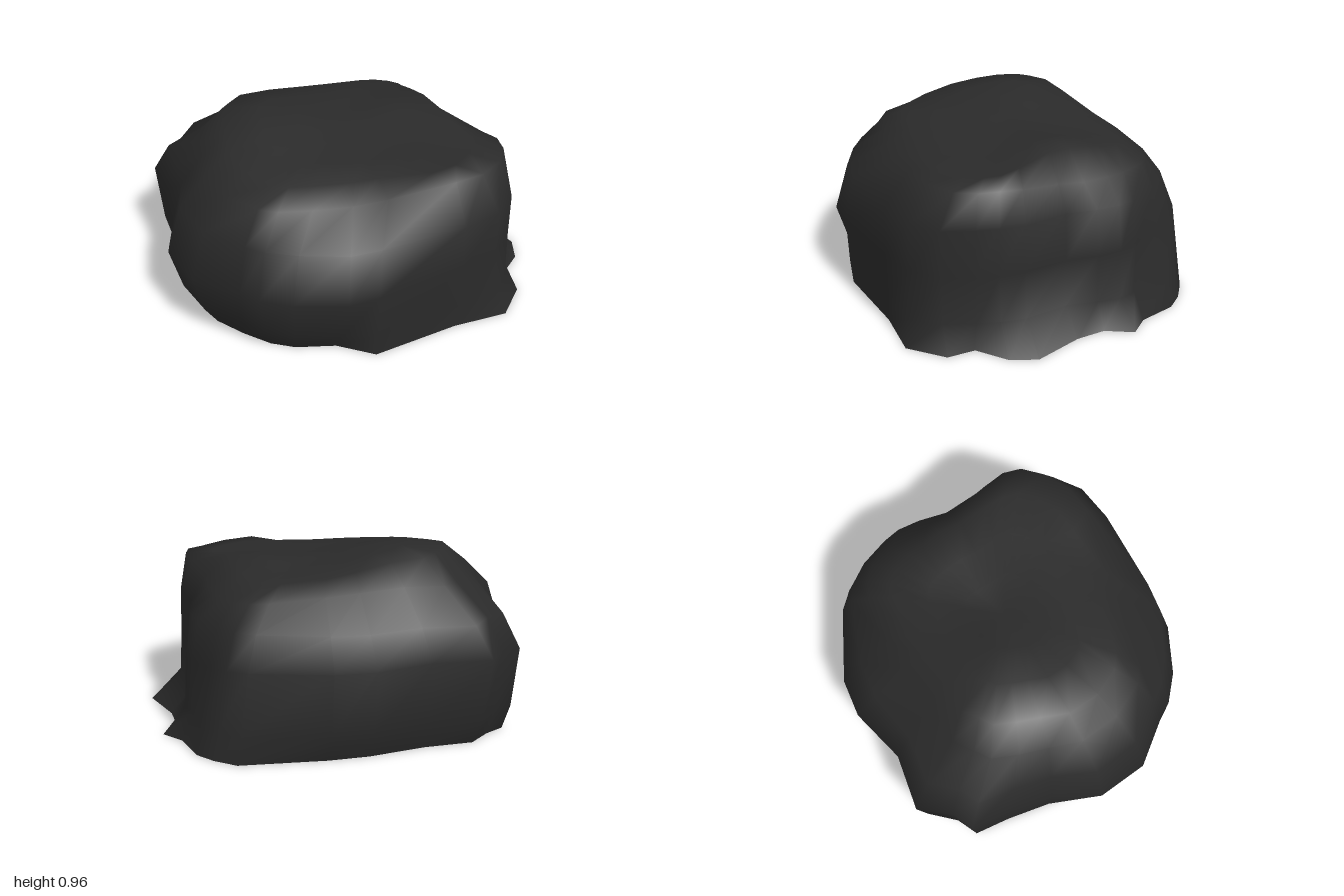
import * as THREE from 'three';

// Outline on the ground, [x, z], running left to front to right to back
const BASE = [
  [-.85, 0], [-.83, .2], [-.75, .36], [-.66, .5], [-.56, .59], [-.37, .68], [-.22, .84],
  [.26, .845], [.56, .89], [.74, .75], [.75, .6], [.91, .5], [.98, .37], [.91, .1],
  [.91, -.06], [1, -.19], [.92, -.3], [.88, -.51], [.81, -.61], [.71, -.7], [.26, -.77],
  [.05, -.78], [-.26, -.75], [-.52, -.76], [-.64, -.67], [-.75, -.62], [-.78, -.44], [-.82, -.22],
];
// Widest outline of the body, same columns
const MID = [
  [-1, 0], [-.98, .28], [-.82, .5], [-.76, .6], [-.63, .72], [-.39, .85], [-.22, .865],
  [.28, .86], [.5, .83], [.65, .73], [.73, .58], [.77, .47], [.8, .34], [.79, .1],
  [.84, -.06], [.865, -.18], [.85, -.28], [.79, -.46], [.73, -.58], [.64, -.67], [.26, -.87],
  [.05, -.9], [-.26, -.83], [-.56, -.89], [-.68, -.74], [-.8, -.69], [-.82, -.47], [-.87, -.24],
];
// Rim of the top, [x, y, z], same columns
const RIM = [
  [-.77, .785, 0], [-.75, .785, .22], [-.66, .79, .41], [-.58, .785, .47], [-.42, .78, .53],
  [-.22, .775, .59], [-.04, .775, .62], [.3, .83, .72], [.47, .82, .71], [.62, .81, .64],
  [.71, .82, .55], [.74, .82, .45], [.73, .8, .32], [.7, .77, .1], [.71, .755, -.05],
  [.7, .75, -.2], [.69, .75, -.3], [.66, .76, -.43], [.59, .765, -.5], [.5, .77, -.54],
  [.22, .79, -.58], [.04, .8, -.58], [-.2, .81, -.57], [-.42, .8, -.57], [-.52, .79, -.5],
  [-.6, .79, -.45], [-.66, .8, -.32], [-.71, .8, -.17],
];

// Uneven crown: one peak at the left back, a lower one on the right
const bump = (x, z, cx, cz, w) => Math.exp(-((x - cx) ** 2 + (z - cz) ** 2) / (w * w));
const crown = (x, z) => .83 + .13 * bump(x, z, -.34, -.23, .45) + .065 * bump(x, z, .52, 0, .26);

const mix = (a, b, t) => a + (b - a) * t;

function bodyGeometry() {
  const rings = [
    BASE.map(([x, z]) => [x, 0, z]),
    // The flared foot pulls in quickly on the right front, slowly elsewhere
    BASE.map(([x, z], i) => {
      const t = x > .6 ? (z > -.4 ? .92 : .3) : .55;
      return [mix(x, MID[i][0], t), .14, mix(z, MID[i][1], t)];
    }),
    MID.map(([x, z]) => [x, .39 + Math.max(0, -z) * .11, z]),
    // Upper wall leans in most at the left front, right back and back
    MID.map(([x, z], i) => {
      const t = .26 - .1 * x - .15 * z - .2 * x * z;
      return [mix(x, RIM[i][0], t), .64, mix(z, RIM[i][2], t)];
    }),
    RIM,
    ...[.82, .55, .28].map(s => RIM.map(([x, , z]) => [x * s, crown(x * s, z * s), z * s])),
  ];

  const n = BASE.length, index = [];
  for (let r = 0; r < rings.length - 1; r++) {
    for (let j = 0; j < n; j++) {
      const k = (j + 1) % n, a = r * n, b = a + n;
      index.push(a + j, a + k, b + k, a + j, b + k, b + j);
    }
  }
  const last = (rings.length - 1) * n, top = rings.length * n;
  for (let j = 0; j < n; j++) index.push(last + j, last + (j + 1) % n, top);

  const geometry = new THREE.BufferGeometry();
  const points = [...rings.flat(2), 0, crown(0, 0), 0];
  geometry.setAttribute('position', new THREE.Float32BufferAttribute(points, 3));
  geometry.setIndex(index);
  geometry.computeVertexNormals();
  return geometry;
}

export function createModel() {
  const group = new THREE.Group();
  group.name = 'rock';
  const stone = new THREE.MeshStandardMaterial({ color: 0x2a2a2a });
  stone.name = 'dark stone';

  const body = new THREE.Mesh(bodyGeometry(), stone);
  body.name = 'rockBody';

  // Flat underside
  const shape = new THREE.Shape(BASE.map(([x, z]) => new THREE.Vector2(x, z)));
  const underside = new THREE.Mesh(new THREE.ShapeGeometry(shape).rotateX(Math.PI / 2), stone);
  underside.name = 'underside';

  group.add(body, underside);
  return group;
}
